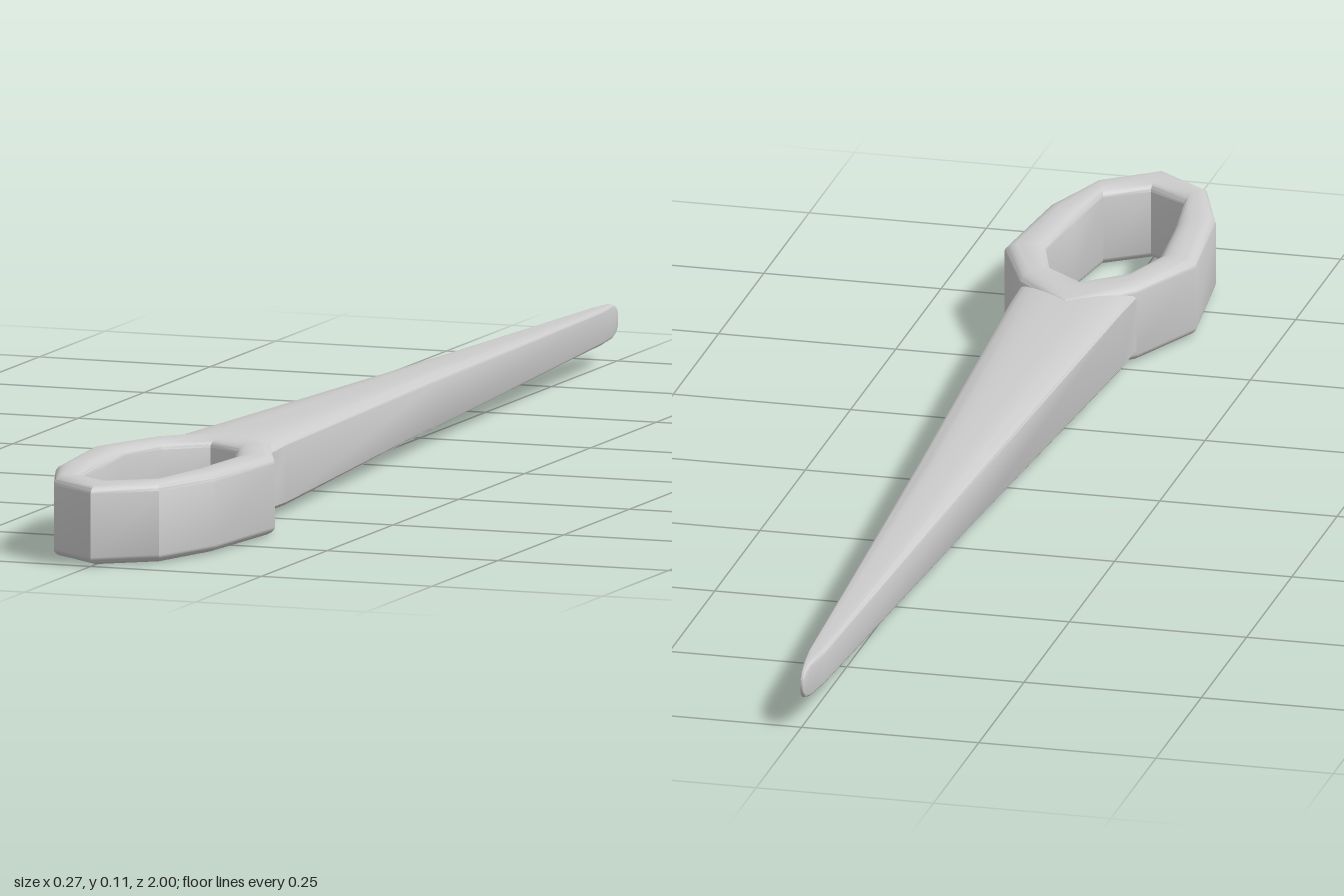
import * as THREE from 'three';
import { toCreasedNormals } from 'three/addons/utils/BufferGeometryUtils.js';

// Rounded rectangle, counter-clockwise, with half sizes w, h and corner radii rx, ry
function section(w, h, rx, ry, steps = 5) {
  const points = [];
  [[1, 1], [-1, 1], [-1, -1], [1, -1]].forEach(([sx, sy], corner) => {
    for (let i = 0; i <= steps; i++) {
      const a = (corner + i / steps) * Math.PI / 2;
      points.push([sx * (w - rx) + rx * Math.cos(a), sy * (h - ry) + ry * Math.sin(a)]);
    }
  });
  return points;
}

// Skin a list of equal cross-sections, either joined in a loop or capped at both ends
function loft(rows, closed) {
  const n = rows[0].length, index = [];
  const count = closed ? rows.length : rows.length - 1;
  for (let i = 0; i < count; i++) {
    const next = (i + 1) % rows.length;
    for (let j = 0; j < n; j++) {
      const k = (j + 1) % n;
      const a = i * n + j, b = next * n + j, c = next * n + k, d = i * n + k;
      index.push(a, b, c, a, c, d);
    }
  }
  if (!closed) {
    const last = (rows.length - 1) * n;
    for (let j = 1; j < n - 1; j++) {
      index.push(0, j, j + 1, last, last + j + 1, last + j);
    }
  }
  const geometry = new THREE.BufferGeometry();
  geometry.setAttribute('position', new THREE.Float32BufferAttribute(rows.flat(2), 3));
  geometry.setIndex(index);
  return toCreasedNormals(geometry, 0.55);
}

export function createModel() {
  const group = new THREE.Group();
  group.name = 'needle';
  const material = new THREE.MeshStandardMaterial({ color: 0xcccccc });
  const midY = 0.057;

  // Eye: faceted loop, each station is outer x, z and inner x, z
  const half = [
    [0, 1, 0, 0.93],
    [0.077, 0.94, 0.057, 0.89],
    [0.117, 0.83, 0.07, 0.785],
    [0.135, 0.65, 0.08, 0.665],
    [0.083, 0.53, 0.055, 0.588],
    [0, 0.44, 0, 0.545],
  ];
  const mirrored = half.slice(1, -1).reverse().map(([ox, oz, ix, iz]) => [-ox, oz, -ix, iz]);
  const profile = section(0.5, 0.056, 0.4, 0.012);
  const eyeRows = [...half, ...mirrored].map(([ox, oz, ix, iz]) =>
    profile.map(([u, y]) => {
      const t = u + 0.5;
      return [ix + (ox - ix) * t, midY + y, iz + (oz - iz) * t];
    }));
  const eye = new THREE.Mesh(loft(eyeRows, true), material);
  eye.name = 'eye';
  group.add(eye);

  // Shaft: long taper to a narrow rounded tip, each station is z, half width, half height
  const stations = [
    [0.53, 0.082, 0.050],
    [0.46, 0.079, 0.0525],
    [-0.2, 0.045, 0.039],
    [-0.92, 0.012, 0.026],
    [-0.97, 0.006, 0.024],
    [-0.988, 0.004, 0.019],
    [-0.997, 0.0025, 0.011],
    [-1, 0.0015, 0.004],
  ];
  const shaftRows = stations.map(([z, w, h]) =>
    section(w, h, w * 0.75, h * 0.25).map(([x, y]) => [x, midY + 0.003 * (0.53 - z) / 1.53 + y, z]));
  const shaft = new THREE.Mesh(loft(shaftRows, false), material);
  shaft.name = 'shaft';
  group.add(shaft);

  return group;
}
